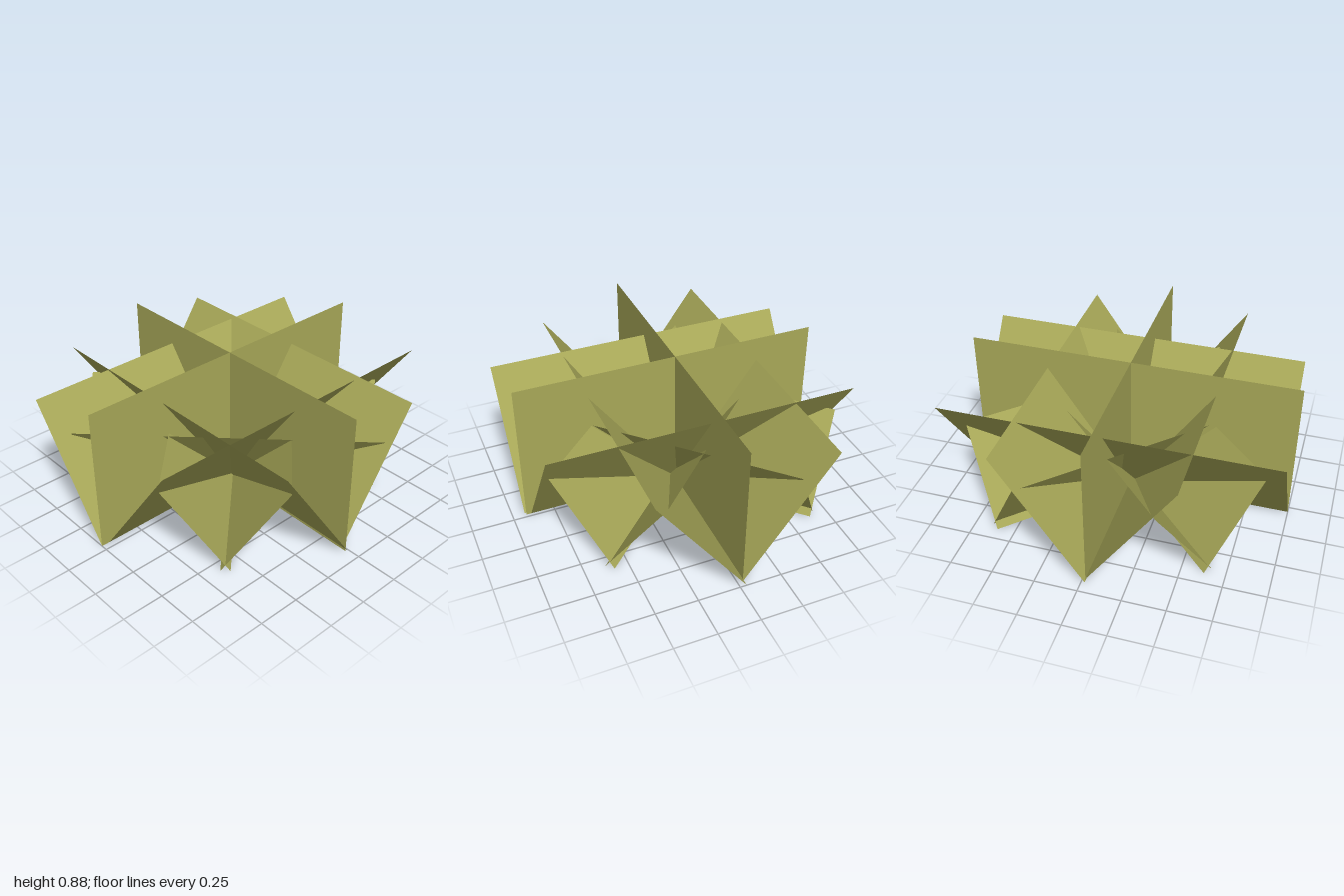
import * as THREE from 'three';

export function createModel() {
  const group = new THREE.Group();
  group.name = 'leafyPlant';
  const olive = new THREE.MeshStandardMaterial({ color: 0xa8a858, side: THREE.DoubleSide });
  olive.name = 'olive';

  // One flat leaf card: bottom edge a-b, top edge shifted by (dx, dz) and raised to topY
  function card(name, a, b, dx, dz, topY, bottomY = 0) {
    const geo = new THREE.BufferGeometry();
    geo.setAttribute('position', new THREE.Float32BufferAttribute([
      a[0], bottomY, a[1],
      b[0], bottomY, b[1],
      b[0] + dx, topY, b[1] + dz,
      a[0] + dx, topY, a[1] + dz,
    ], 3));
    geo.setIndex([0, 1, 2, 0, 2, 3]);
    geo.computeVertexNormals();
    const mesh = new THREE.Mesh(geo, olive);
    mesh.name = name;
    group.add(mesh);
  }

  // Upright crossed cards in the middle
  card('uprightLeafAcross', [-0.915, 0.02], [0.92, 0.02], 0, 0, 0.88);
  card('uprightLeafAlong', [-0.04, 1], [-0.04, -0.95], 0, 0, 0.88);

  // Large cards leaning out to the four sides
  card('frontLeaf', [-0.92, 0.02], [0.93, 0.02], 0, 0.5, 0.75, 0.015);
  card('backLeaf', [0.89, 0.02], [-0.93, 0.02], 0, -0.51, 0.75);
  card('rightLeaf', [-0.04, -0.96], [-0.04, 1], -0.53, 0, 0.73);
  card('leftLeaf', [-0.04, 0.95], [-0.04, -1], 0.53, 0, 0.73);

  // Shorter diagonal pairs, each leaning out and crossing just above the ground
  const s = 0.02, out = 0.265;
  for (const side of [1, -1]) {
    const suffix = side > 0 ? 'Left' : 'Right';
    const o = s * side, d = out * side;
    card('diagonalLeafA' + suffix, [-0.655 - o, -0.625 + o], [0.585 - o, 0.625 + o], d, -d, 0.535);
    card('diagonalLeafB' + suffix, [-0.655 - o, 0.65 - o], [0.605 - o, -0.585 - o], d, d, 0.535);
  }
  return group;
}
